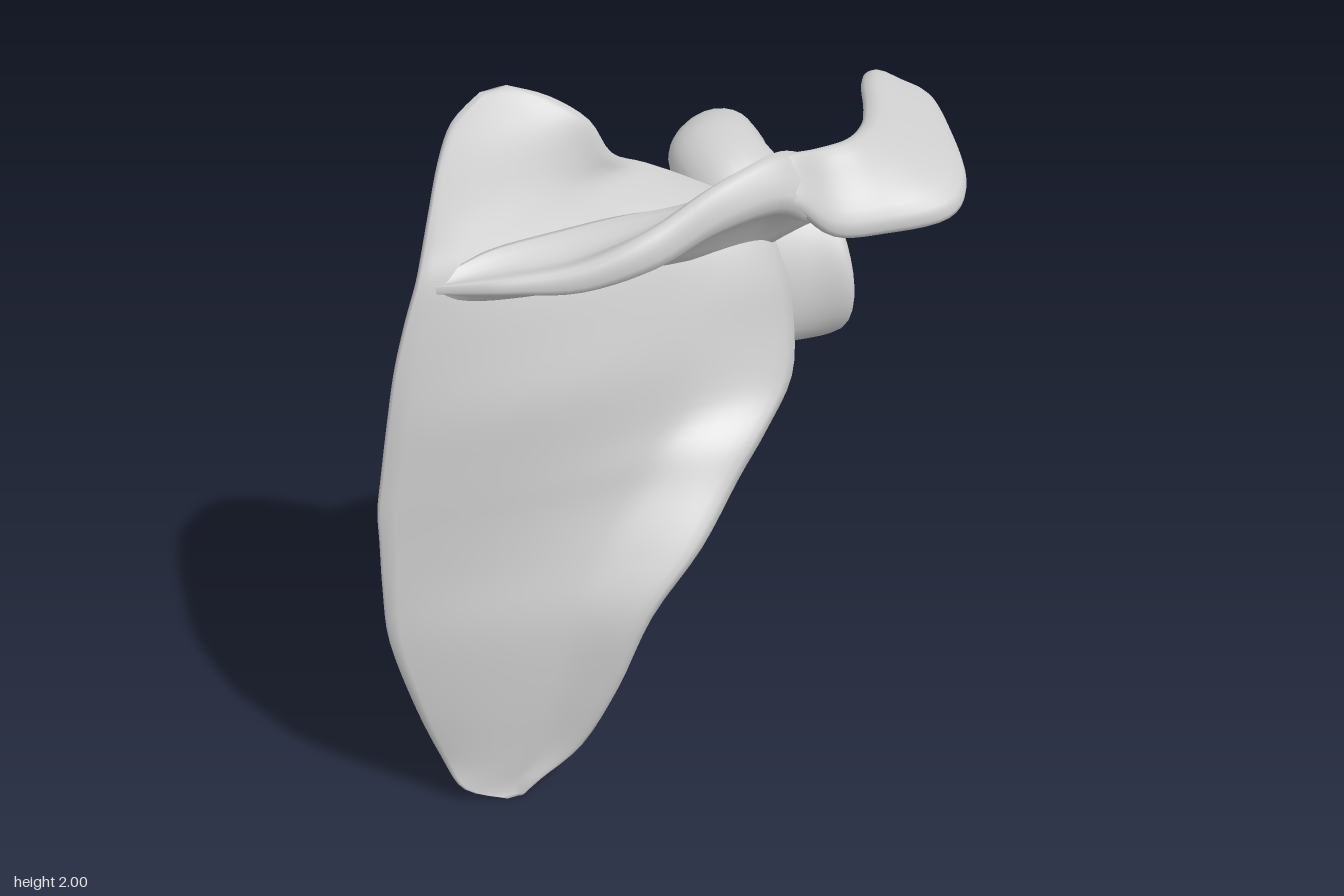
import * as THREE from 'three';

const bone = new THREE.MeshStandardMaterial({ color: 0xcccccc, side: THREE.DoubleSide });
const V = (x, y, z) => new THREE.Vector3(x, y, z);
const { lerp, smoothstep } = THREE.MathUtils;

// Catmull-Rom blend of numeric key rows, t in 0..1
function sample(keys, t) {
  const n = keys.length - 1, f = t * n, i = Math.min(n - 1, Math.floor(f)), u = f - i;
  const [a, b, c, d] = [i - 1, i, i + 1, i + 2].map(k => keys[Math.max(0, Math.min(n, k))]);
  return b.map((_, k) => 0.5 * (2 * b[k] + (c[k] - a[k]) * u
    + (2 * a[k] - 5 * b[k] + 4 * c[k] - d[k]) * u * u
    + (3 * b[k] - a[k] - 3 * c[k] + d[k]) * u * u * u));
}

// Closed, capped skin over rings made from the blended key rows
function loft(name, keys, steps, ringOf) {
  const rings = [];
  for (let i = 0; i <= steps; i++) rings.push(ringOf(sample(keys, i / steps)));
  const m = rings[0].length, pts = rings.flat(), idx = [];
  for (let i = 0; i < steps; i++) for (let j = 0; j < m; j++) {
    const a = i * m + j, b = i * m + (j + 1) % m;
    idx.push(a, b, a + m, b, b + m, a + m);
  }
  for (const end of [0, steps]) {
    const c = pts.length, o = end * m;
    pts.push(rings[end].reduce((s, p) => s.add(p), V(0, 0, 0)).divideScalar(m));
    for (let j = 0; j < m; j++) {
      const a = o + j, b = o + (j + 1) % m;
      if (end) idx.push(a, b, c); else idx.push(b, a, c);
    }
  }
  // turn the skin outwards if its volume is negative
  let vol = 0;
  for (let i = 0; i < idx.length; i += 3)
    vol += pts[idx[i]].dot(pts[idx[i + 1]].clone().cross(pts[idx[i + 2]]));
  if (vol < 0) idx.reverse();
  const g = new THREE.BufferGeometry().setFromPoints(pts);
  g.setIndex(idx);
  g.computeVertexNormals();
  const mesh = new THREE.Mesh(g, bone);
  mesh.name = name;
  return mesh;
}

// Smooth closed ring through a few points
const smoothRing = (pts, n) =>
  new THREE.CatmullRomCurve3(pts, true, 'centripetal').getPoints(n).slice(0, n);

export function createModel() {
  const group = new THREE.Group();
  group.name = 'shoulderBlade';

  // Blade rows: y, medial x, medial z, middle z, lateral x, lateral z, lateral thickness
  const blade = [
    [0.00, -0.65, 0.45, 0.45, -0.60, 0.45, 0.03],
    [0.05, -0.77, 0.42, 0.44, -0.54, 0.45, 0.06],
    [0.15, -0.82, 0.39, 0.45, -0.41, 0.46, 0.08],
    [0.35, -0.89, 0.39, 0.46, -0.31, 0.505, 0.09],
    [0.58, -0.95, 0.39, 0.46, -0.21, 0.515, 0.13],
    [0.75, -0.96, 0.39, 0.44, -0.04, 0.485, 0.14],
    [0.90, -0.96, 0.39, 0.42, 0.12, 0.39, 0.16],
    [1.00, -0.96, 0.39, 0.41, 0.24, 0.32, 0.17],
    [1.10, -0.945, 0.39, 0.39, 0.38, 0.20, 0.18],
    [1.25, -0.92, 0.39, 0.37, 0.42, 0.11, 0.20],
    [1.40, -0.89, 0.385, 0.33, 0.40, 0.08, 0.20],
    [1.53, -0.85, 0.375, 0.29, 0.34, 0.04, 0.17],
    [1.63, -0.81, 0.36, 0.25, 0.16, 0.00, 0.08],
    [1.70, -0.78, 0.33, 0.21, 0.01, -0.02, 0.04],
    [1.78, -0.745, 0.29, 0.17, -0.13, 0.06, 0.03],
    [1.89, -0.68, 0.20, 0.11, -0.20, 0.065, 0.03],
    [1.96, -0.61, 0.12, 0.06, -0.30, 0.03, 0.03],
    [2.00, -0.50, 0.04, 0.025, -0.41, 0.01, 0.02],
  ];
  group.add(loft('blade', blade, 68, ([y, xl, zl, zm, xr, zr, t]) => {
    const back = [], front = [], n = 28;
    for (let i = 0; i <= n; i++) {
      const u = i / n, w = 1 - u;
      const z = zl * w * (1 - 2 * u) + 4 * zm * u * w + zr * u * (2 * u - 1);
      const round = Math.sqrt(Math.max(0, 1 - Math.max(0, (u - 0.93) / 0.07) ** 2));
      const h = 0.5 * lerp(0.025, Math.max(t, 0.02), smoothstep(u, 0.65, 0.93)) * Math.max(round, 0.15);
      const x = lerp(xl, xr, u);
      back.push(V(x, y, z + h));
      front.push(V(x, y, z - h));
    }
    return back.concat(front.reverse());
  }));

  // Spine rows: x, base y, base z, base half thickness, crest top y, z, crest bottom y, z
  const spine = [
    [-0.77, 1.61, 0.362, 0.010, 1.62, 0.365, 1.60, 0.37],
    [-0.68, 1.61, 0.362, 0.025, 1.63, 0.41, 1.60, 0.415],
    [-0.58, 1.61, 0.350, 0.035, 1.64, 0.45, 1.60, 0.46],
    [-0.40, 1.60, 0.318, 0.04, 1.66, 0.49, 1.59, 0.50],
    [-0.20, 1.59, 0.270, 0.04, 1.73, 0.495, 1.63, 0.52],
    [0.00, 1.56, 0.210, 0.04, 1.79, 0.43, 1.68, 0.47],
    [0.20, 1.53, 0.145, 0.045, 1.83, 0.37, 1.70, 0.44],
    [0.30, 1.52, 0.13, 0.04, 1.81, 0.33, 1.65, 0.43],
    [0.36, 1.56, 0.19, 0.03, 1.77, 0.30, 1.62, 0.41],
    [0.41, 1.62, 0.29, 0.02, 1.73, 0.31, 1.62, 0.39],
  ];
  group.add(loft('spine', spine, 45, ([x, yb, zb, tb, yt, zt, yl, zl]) => {
    const my = lerp(yb, (yt + yl) / 2, 0.5), mz = lerp(zb, (zt + zl) / 2, 0.5);
    return smoothRing([
      V(x, yb + tb * 2, zb - tb * 0.7), V(x, my + tb * 0.7, mz - tb * 0.4), V(x, yt, zt),
      V(x, yl, zl), V(x, my - tb * 0.9, mz + tb * 0.2), V(x, yb - tb * 1.8, zb + tb * 0.4),
      V(x, yb, zb),
    ], 28);
  }));

  // Acromion rows: outer edge xyz, inner edge xyz, thickness
  const acromion = [
    [0.16, 1.73, 0.43, 0.16, 1.81, 0.37, 0.02],
    [0.26, 1.68, 0.43, 0.28, 1.81, 0.34, 0.05],
    [0.38, 1.585, 0.435, 0.38, 1.79, 0.29, 0.07],
    [0.54, 1.57, 0.445, 0.50, 1.79, 0.26, 0.08],
    [0.74, 1.58, 0.445, 0.60, 1.79, 0.17, 0.09],
    [0.85, 1.63, 0.35, 0.67, 1.80, 0.06, 0.09],
    [0.93, 1.69, 0.12, 0.73, 1.82, -0.06, 0.09],
    [0.96, 1.73, -0.04, 0.785, 1.82, -0.135, 0.08],
    [0.92, 1.75, -0.13, 0.82, 1.80, -0.155, 0.06],
  ];
  const up = V(0.2, 0.8, 0.56);
  group.add(loft('acromion', acromion, 40, ([ox, oy, oz, ix, iy, iz, t]) => {
    const o = V(ox, oy, oz), i = V(ix, iy, iz);
    const at = (u, s) => o.clone().lerp(i, u).addScaledVector(up, s * t);
    return smoothRing([at(0, 0), at(0.1, 0.4), at(0.5, 0.45), at(0.9, 0.4),
      at(1, 0), at(0.9, -0.4), at(0.5, -0.45), at(0.1, -0.4)], 24);
  }));

  // Neck and socket rows: x, centre y, centre z, radius y, radius z
  const socket = [
    [0.16, 1.34, 0.15, 0.13, 0.03],
    [0.26, 1.34, 0.125, 0.18, 0.055],
    [0.36, 1.34, 0.095, 0.215, 0.095],
    [0.45, 1.34, 0.065, 0.23, 0.135],
    [0.53, 1.345, 0.04, 0.235, 0.18],
    [0.56, 1.345, 0.04, 0.215, 0.17],
    [0.562, 1.345, 0.04, 0.18, 0.14],
    [0.555, 1.345, 0.04, 0.02, 0.02],
  ];
  group.add(loft('socket', socket, 35, ([x, cy, cz, ry, rz]) =>
    Array.from({ length: 32 }, (_, k) => {
      // rounded outline, leaning forward towards the top
      const a = k / 32 * Math.PI * 2, s = Math.sin(a);
      const dy = ry * s, dz = rz * Math.cos(a) * (1 - 0.12 * s) - 0.12 * dy;
      return V(x - 0.06 * dy + 0.08 * dz, cy + dy, cz + dz);
    })));

  // Coracoid rows: centre xyz, side radius, height radius, heading angle, pitch
  const coracoid = [
    [0.34, 1.38, 0.09, 0.06, 0.04, 0.0, 0.8],
    [0.34, 1.46, 0.045, 0.14, 0.09, 0.0, 0.7],
    [0.325, 1.545, -0.04, 0.165, 0.12, 0.05, 0.5],
    [0.31, 1.62, -0.16, 0.15, 0.105, 0.3, 0.1],
    [0.37, 1.63, -0.27, 0.115, 0.09, 0.6, -0.2],
    [0.45, 1.58, -0.38, 0.09, 0.085, 0.65, -0.5],
    [0.53, 1.51, -0.46, 0.085, 0.075, 0.65, -0.7],
    [0.585, 1.455, -0.52, 0.07, 0.065, 0.65, -0.7],
    [0.598, 1.44, -0.535, 0.03, 0.03, 0.65, -0.7],
  ];
  group.add(loft('coracoid', coracoid, 40, ([x, y, z, rs, rh, head, pitch]) => {
    const turn = new THREE.Euler(pitch, -head, 0, 'YXZ');
    return Array.from({ length: 24 }, (_, k) => {
      const a = k / 24 * Math.PI * 2;
      return V(rs * Math.cos(a), rh * Math.sin(a), 0).applyEuler(turn).add(V(x, y, z));
    });
  }));

  return group;
}
